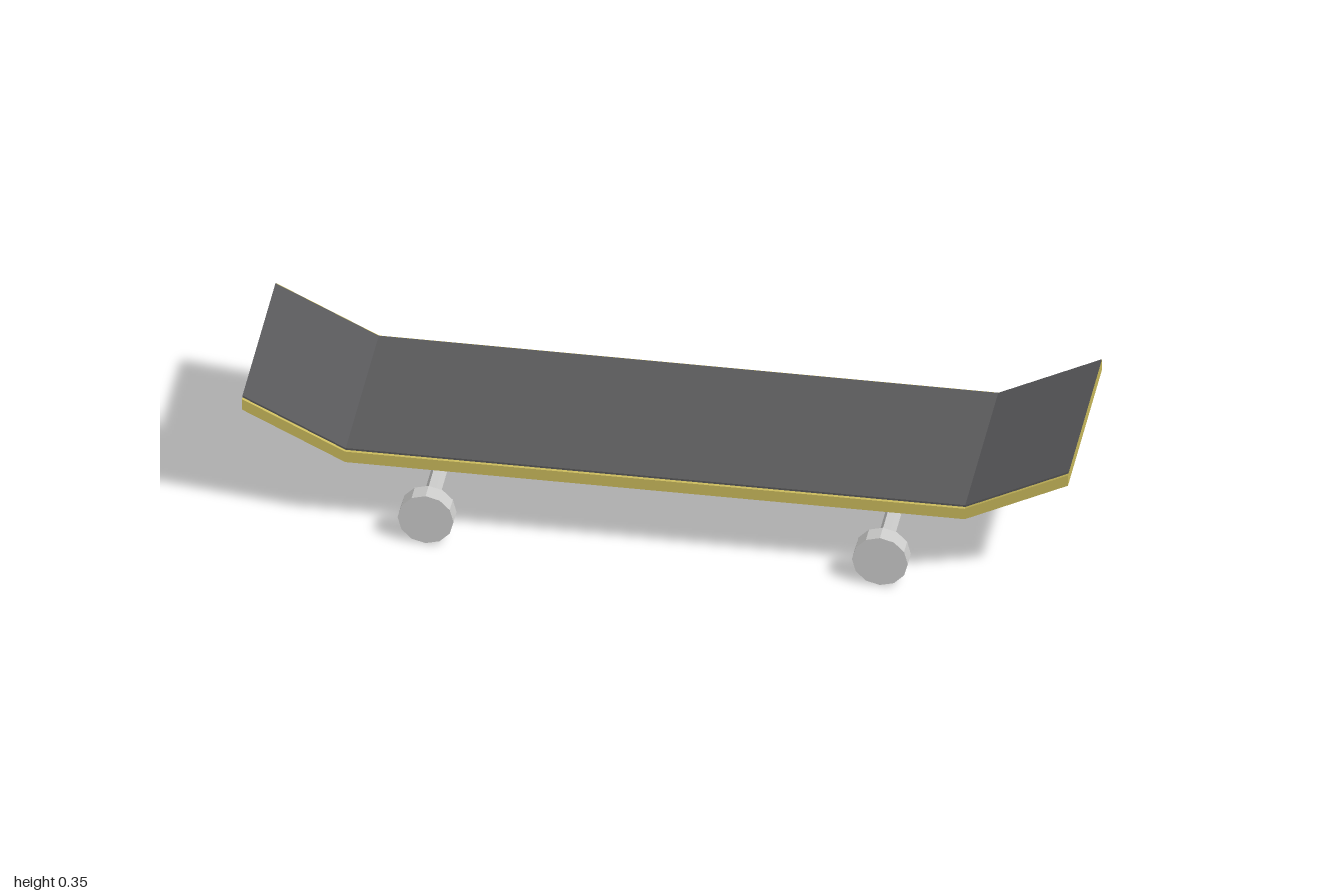
import * as THREE from 'three';

const wood = new THREE.MeshStandardMaterial({ color: 0xcbbb5d, flatShading: true });
wood.name = 'wood';
const gripBlack = new THREE.MeshStandardMaterial({ color: 0x58585a, flatShading: true });
gripBlack.name = 'grip charcoal';
const metal = new THREE.MeshStandardMaterial({ color: 0xcccccb, flatShading: true });
metal.name = 'light grey metal';

function part(name, geometry, material, x = 0, y = 0, z = 0) {
  const mesh = new THREE.Mesh(geometry, material);
  mesh.name = name;
  mesh.position.set(x, y, z);
  return mesh;
}

// Side profile with both ends kicked up, extruded across the width
function kickedSheet(bottom, thickness, halfWidth) {
  const line = [[-1, 0.124], [-0.75, 0], [0.75, 0], [1, 0.124]];
  const points = [
    ...line.map(([x, y]) => new THREE.Vector2(x, bottom + y)),
    ...line.reverse().map(([x, y]) => new THREE.Vector2(x, bottom + thickness + y)),
  ];
  const geometry = new THREE.ExtrudeGeometry(new THREE.Shape(points), {
    depth: halfWidth * 2, bevelEnabled: false,
  });
  return geometry.translate(0, 0, -halfWidth);
}

// Faceted rod lying along z, with a turn about its own axis
function rod(radius, length, sides, turn = 0) {
  return new THREE.CylinderGeometry(radius, radius, length, sides)
    .rotateY(turn).rotateX(Math.PI / 2);
}

export function createModel() {
  const board = new THREE.Group();
  board.name = 'skateboard';

  board.add(part('deck', kickedSheet(0.19, 0.03, 0.251), wood));
  board.add(part('gripSheet', kickedSheet(0.22, 0.005, 0.243), gripBlack));

  // Truck block, axle and two wheels at each end
  for (const side of [-1, 1]) {
    const truck = new THREE.Group();
    truck.name = side > 0 ? 'leftTruck' : 'rightTruck';
    truck.position.x = side * 0.55;
    truck.add(part('truckBlock', new THREE.BoxGeometry(0.145, 0.076, 0.149), metal, 0, 0.152, 0));
    truck.add(part('axle', rod(0.0195, 0.49, 6, Math.PI / 6), metal, 0, 0.076, 0));
    for (const end of [-1, 1]) {
      truck.add(part(end > 0 ? 'frontWheel' : 'backWheel',
        rod(0.0676, 0.045, 12), metal, 0, 0.0676, end * 0.261));
    }
    board.add(truck);
  }
  return board;
}
